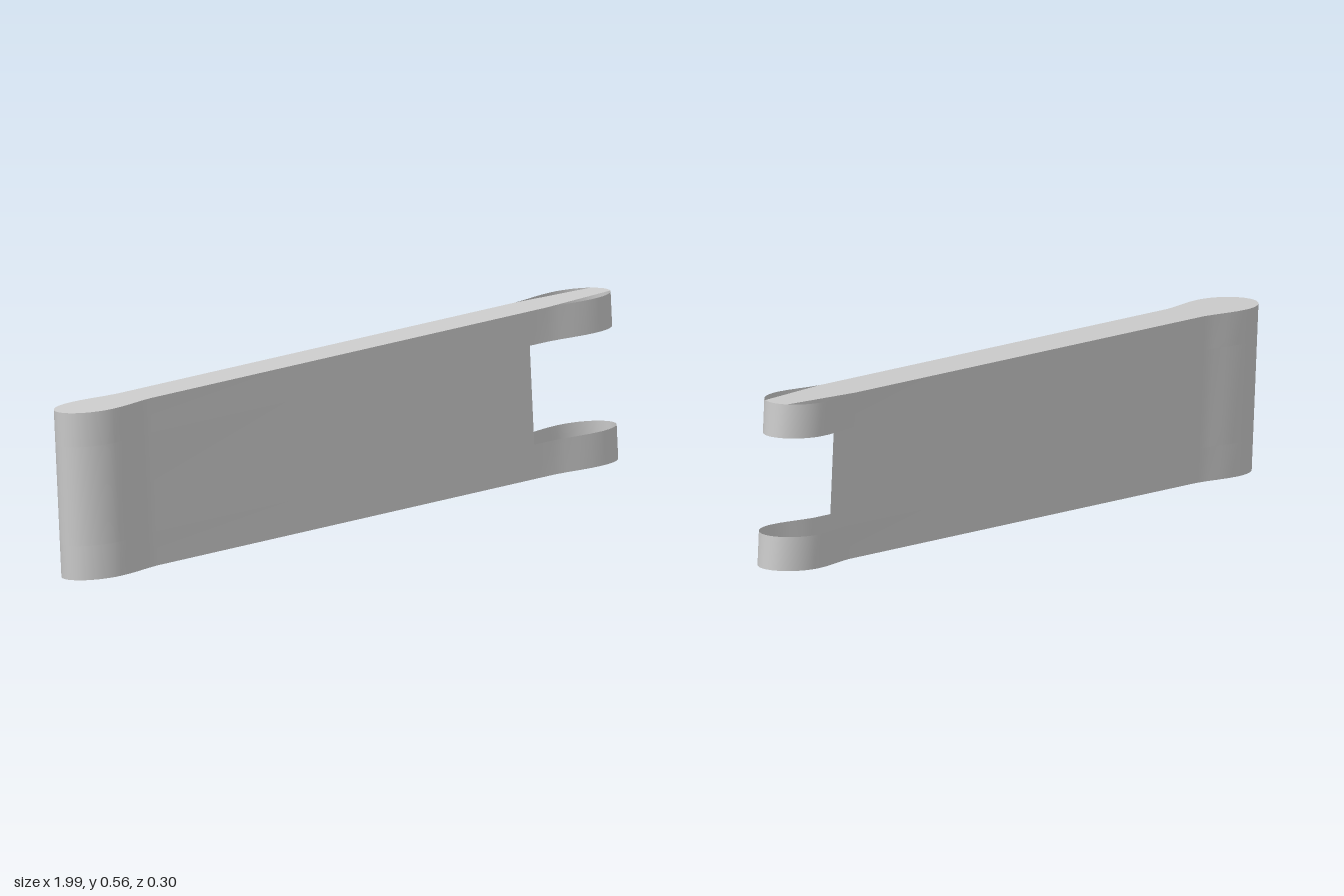
import * as THREE from 'three';

const HEIGHT = 0.441, SLOT_LOW = 0.09, SLOT_HIGH = 0.351, HALF = 0.06;

export function createModel() {
  const root = new THREE.Group();
  root.name = 'forkedLink';
  const link = new THREE.Group();
  link.name = 'linkShell';
  const material = new THREE.MeshStandardMaterial({ color: 0xcccccc, side: THREE.DoubleSide });

  const add = (name, geometry) => {
    const mesh = new THREE.Mesh(geometry, material);
    mesh.name = name;
    link.add(mesh);
  };

  // Flared lug contour: from the straight flank out to the rounded tip, as [x, z]
  const flare = [[0.72, HALF], [0.76, 0.065], [0.8, 0.0725], [0.84, 0.0785]];
  for (let i = 0; i <= 10; i++) {
    const a = (Math.PI / 2) * (1 - i / 10);
    flare.push([0.872 + 0.115 * Math.cos(a), 0.08 * Math.sin(a)]);
  }
  const flip = (points, sx, sz) => points.map(([x, z]) => [x * sx, z * sz]);
  const reversed = (points) => [...points].reverse();
  const body = [[0.653, HALF], ...flip(flare, -1, 1),
    ...reversed(flip(flare, -1, -1)).slice(1), [0.06, -HALF]];
  const lug = [...flip(flare, 1, -1), ...reversed(flare).slice(1)];

  // Upright wall following a contour
  const wall = (points, y0, y1) => {
    const position = [], index = [];
    points.forEach(([x, z], i) => {
      position.push(x, y0, z, x, y1, z);
      if (i) {
        const k = 2 * i;
        index.push(k - 2, k - 1, k, k, k - 1, k + 1);
      }
    });
    const g = new THREE.BufferGeometry();
    g.setAttribute('position', new THREE.Float32BufferAttribute(position, 3));
    g.setIndex(index);
    g.computeVertexNormals();
    return g;
  };

  // Flat lid; dir is +1 facing up, -1 facing down
  const cap = (points, y, dir) => {
    const shape = new THREE.Shape(points.map(([x, z]) => new THREE.Vector2(x, -z * dir)));
    return new THREE.ShapeGeometry(shape).rotateX(-dir * Math.PI / 2).translate(0, y, 0);
  };

  // Middle wall stops at the front notch and at the longer back window
  const full = [...body, ...lug, body[0]];
  add('lowerWall', wall(full, 0, SLOT_LOW));
  add('middleWall', wall(body, SLOT_LOW, SLOT_HIGH));
  add('upperWall', wall(full, SLOT_HIGH, HEIGHT));

  // The top lid tapers straight across the fork lug, leaving side crescents open
  const taper = lug.filter(([x, z]) => x <= 0.72 || (x > 0.96 && Math.abs(z) < 0.04));
  add('bottomCap', cap([...body, ...lug], 0, -1));
  add('topCap', cap([...body, ...taper], HEIGHT, 1));

  // Slight yaw and lean of the whole link
  link.rotation.set(0, 0.078, 0.0584, 'ZYX');
  link.position.set(0.013, 0.0575, 0);
  root.add(link);
  return root;
}
